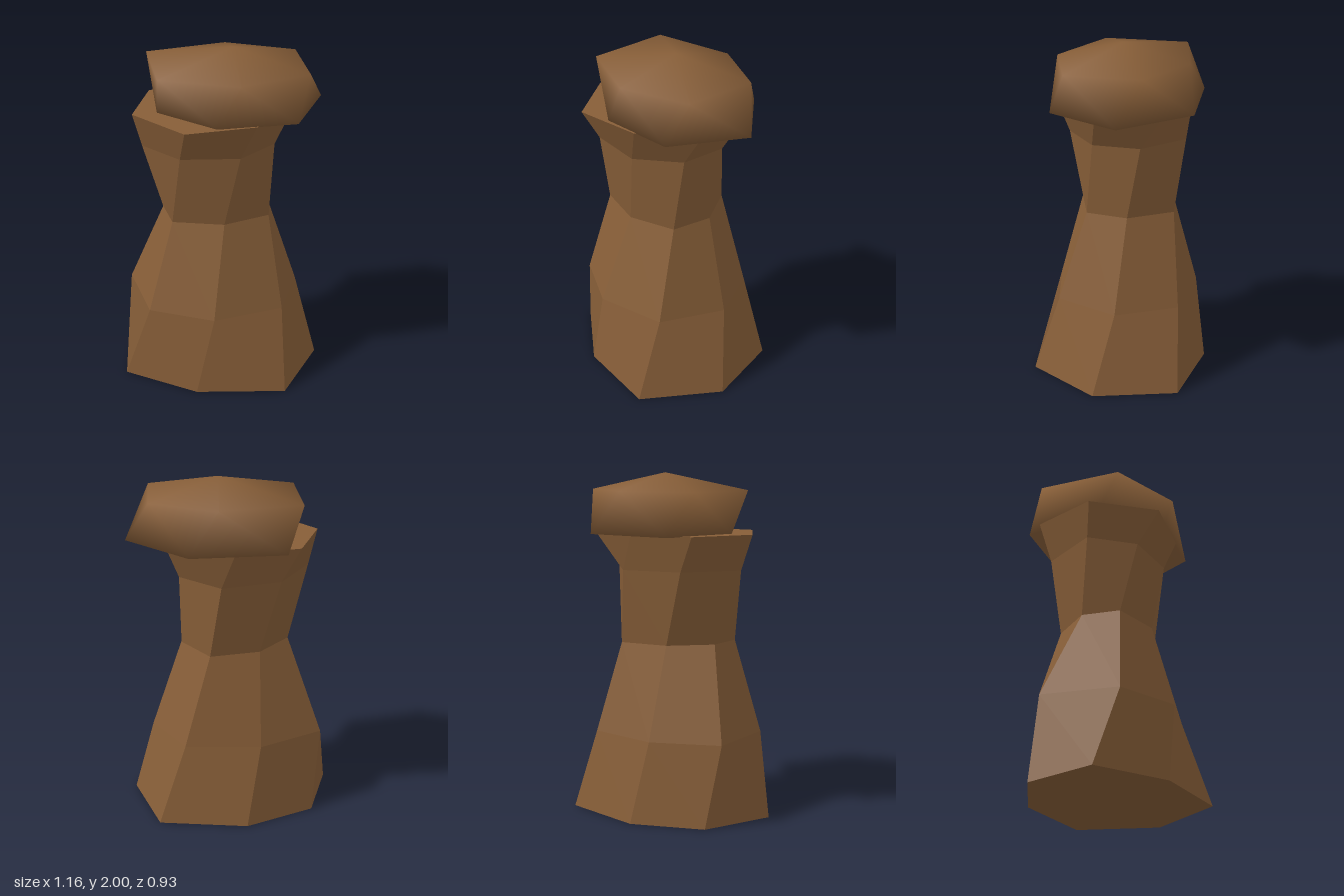
import * as THREE from 'three';

// Closed loft through horizontal rings {y, p:[x,z,...]}, with a centre point at each end
function loft(rings, bottom, top) {
  const n = rings[0].p.length / 2;
  const pos = [];
  const index = [];
  for (const { y, p } of rings) {
    for (let i = 0; i < n; i++) pos.push(p[2 * i], y, p[2 * i + 1]);
  }
  const b = rings.length * n;
  const last = b - n;
  pos.push(...bottom, ...top);
  for (let lo = 0; lo < last; lo += n) {
    const hi = lo + n;
    for (let i = 0; i < n; i++) {
      const j = (i + 1) % n;
      index.push(lo + j, lo + i, hi + j, lo + i, hi + i, hi + j);
    }
  }
  for (let i = 0; i < n; i++) index.push(b, i, (i + 1) % n);
  for (let i = 0; i < n; i++) index.push(b + 1, last + ((i + 1) % n), last + i);
  const geo = new THREE.BufferGeometry();
  geo.setAttribute('position', new THREE.Float32BufferAttribute(pos, 3));
  geo.setIndex(index);
  geo.computeVertexNormals();
  return geo;
}

// Flat shading, with one shared normal for each of the four-cornered faces
function facet(geo, quads) {
  const flat = geo.toNonIndexed();
  flat.computeVertexNormals();
  const normal = flat.attributes.normal;
  const a = new THREE.Vector3();
  const c = new THREE.Vector3();
  for (let q = 0; q < quads; q++) {
    a.fromBufferAttribute(normal, q * 6).add(c.fromBufferAttribute(normal, q * 6 + 3)).normalize();
    for (let k = 0; k < 6; k++) normal.setXYZ(q * 6 + k, a.x, a.y, a.z);
  }
  return flat;
}

export function createModel() {
  const group = new THREE.Group();
  const brown = new THREE.MeshStandardMaterial({ color: 0x875e38 });
  brown.name = 'brown';

  const add = (name, geo) => {
    const mesh = new THREE.Mesh(geo, brown);
    mesh.name = name;
    group.add(mesh);
  };

  // Seven-sided faceted stem that twists as it rises, narrow at the waist
  const stem = loft([
    { y: 0, p: [0.58, 0, 0.37, 0.46, -0.155, 0.465, -0.585, 0.24, -0.52, -0.21, -0.15, -0.455, 0.37, -0.455] },
    { y: 0.48, p: [0.45, -0.09, 0.35, 0.3, -0.05, 0.45, -0.43, 0.32, -0.56, -0.12, -0.22, -0.37, 0.22, -0.4] },
    { y: 1.02, p: [0.27, -0.1, 0.27, 0.15, 0.01, 0.28, -0.29, 0.24, -0.35, 0.02, -0.2, -0.22, 0.08, -0.32] },
    { y: 1.45, p: [0.27, -0.18, 0.3, 0.1, 0.1, 0.32, -0.24, 0.33, -0.46, 0.12, -0.32, -0.22, 0.01, -0.365] },
    { y: 1.655, p: [0.32, -0.32, 0.41, 0.04, 0.19, 0.36, -0.21, 0.46, -0.51, 0.16, -0.43, -0.235, -0.07, -0.375] },
  ], [0, 0, 0], [0, 1.655, 0]);
  add('stem', facet(stem, 28));

  // Irregular six-sided cap with soft shading and a low peak
  add('cap', loft([
    { y: 1.652, p: [0.58, -0.15, 0.42, 0.305, -0.03, 0.39, -0.37, 0.13, -0.36, -0.355, 0.18, -0.465] },
    { y: 1.9, p: [0.43, -0.25, 0.49, 0.19, 0.1, 0.39, -0.36, 0.27, -0.44, -0.22, 0.02, -0.385] },
  ], [0.05, 1.652, 0], [0.06, 2, 0]));

  return group;
}
